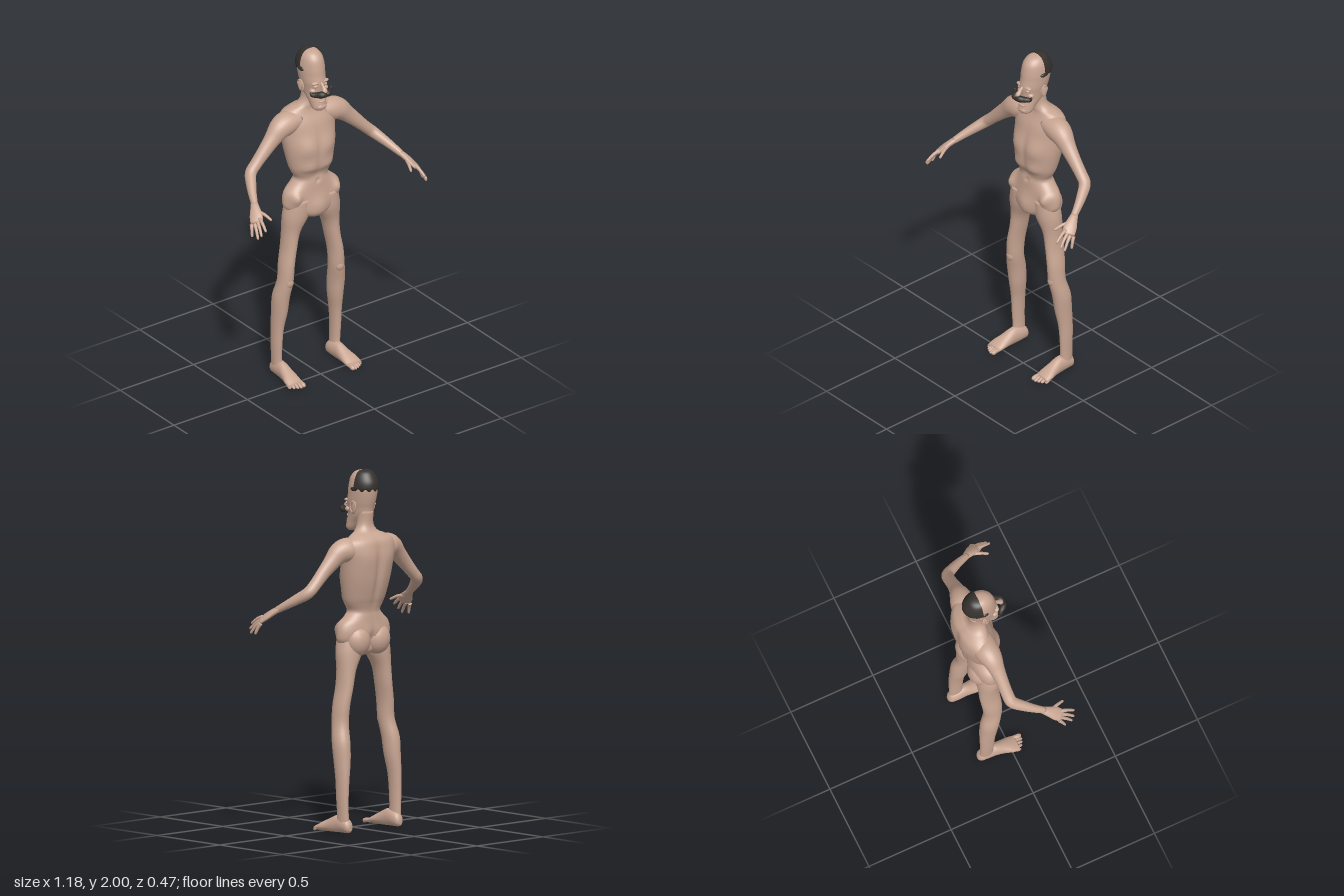
import * as THREE from 'three';

const skin = new THREE.MeshStandardMaterial({ color: 0xc8a592 });
skin.name = 'skin';
const hair = new THREE.MeshStandardMaterial({ color: 0x35312d });
hair.name = 'dark hair';
const V = (x, y, z) => new THREE.Vector3(x, y, z);
const UP = V(0, 1, 0), SIDE = V(1, 0, 0);

// Smooth interpolation through rows of numbers
function sample(rows, t) {
  const f = t * (rows.length - 1), i = Math.min(Math.floor(f), rows.length - 2), u = f - i;
  const at = (k) => rows[Math.max(0, Math.min(rows.length - 1, k))];
  return rows[i].map((b, n) => {
    const a = at(i - 1)[n], c = at(i + 1)[n], d = at(i + 2)[n];
    return b + 0.5 * u * (c - a + u * (2 * a - 5 * b + 4 * c - d + u * (3 * (b - c) + d - a)));
  });
}

// Skin over elliptical sections; each row is x, y, z, radius across, other radius
function loft(rows, { across = SIDE, axis = null, segs = 24, steps = 4, rule = null } = {}) {
  const n = (rows.length - 1) * steps, pos = [], idx = [];
  const data = [...Array(n + 1)].map((_, i) => sample(rows, i / n));
  const point = (d) => V(d[0], d[1], d[2]);
  data.forEach((d, i) => {
    const t = axis ? axis.clone()
      : point(data[Math.min(n, i + 1)]).sub(point(data[Math.max(0, i - 1)])).normalize();
    const a = across.clone().addScaledVector(t, -across.dot(t)).normalize();
    const b = t.clone().cross(a);
    for (let j = 0; j < segs; j++) {
      const w = (j / segs) * Math.PI * 2;
      const p = point(d).addScaledVector(a, Math.cos(w) * d[3]).addScaledVector(b, Math.sin(w) * d[4]);
      if (rule) rule(p, i, j);
      pos.push(p.x, p.y, p.z);
    }
  });
  for (let i = 0; i < n; i++) for (let j = 0; j < segs; j++) {
    const k = (j + 1) % segs, a = i * segs + j, b = i * segs + k;
    idx.push(a, b, b + segs, a, b + segs, a + segs);
  }
  // End caps
  const c = pos.length / 3, last = n * segs;
  pos.push(...data[0].slice(0, 3), ...data[n].slice(0, 3));
  for (let j = 0; j < segs; j++) {
    const k = (j + 1) % segs;
    idx.push(c, k, j, c + 1, last + j, last + k);
  }
  const g = new THREE.BufferGeometry();
  g.setAttribute('position', new THREE.Float32BufferAttribute(pos, 3));
  g.setIndex(idx);
  g.computeVertexNormals();
  return g;
}

function add(parent, name, geo, mat = skin) {
  const m = new THREE.Mesh(geo, mat);
  m.name = name;
  parent.add(m);
  return m;
}
function blob(parent, name, p, r, mat = skin) {
  const m = add(parent, name, new THREE.SphereGeometry(1, 20, 14), mat);
  m.position.set(...p);
  m.scale.set(...r);
  return m;
}

// Body relief: x, y, z, spread x, spread y, push along z
const relief = [
  [0, 1.42, -0.23, 0.02, 0.16, 0.018], [0.08, 1.52, -0.23, 0.05, 0.07, -0.008],
  [0.075, 1.42, 0, 0.05, 0.05, 0.012], [0, 1.4, 0, 0.018, 0.12, -0.008],
  [0.07, 1.3, 0, 0.045, 0.03, 0.012], [0, 1.24, 0, 0.05, 0.03, -0.012],
  [0, 1.05, 0, 0.05, 0.05, 0.014], [0.14, 1.12, 0, 0.03, 0.04, 0.03],
  [0, 1.2, -0.01, 0.01, 0.01, -0.012], [0, 1.05, -0.18, 0.016, 0.06, 0.025],
];
function sculpt(p) {
  const z = p.z;
  for (const [x, y, z0, sx, sy, d] of relief) {
    if (Math.abs(z - z0) > 0.1) continue;
    p.z += d * Math.exp(-(((Math.abs(p.x) - x) / sx) ** 2) - ((p.y - y) / sy) ** 2);
  }
}

function buildTorso(root) {
  add(root, 'torso', loft([
    [0, 0.97, -0.08, 0.03, 0.04], [0, 1.0, -0.08, 0.1, 0.072], [0, 1.05, -0.088, 0.175, 0.08],
    [0, 1.1, -0.095, 0.185, 0.082], [0, 1.15, -0.095, 0.172, 0.077], [0, 1.19, -0.095, 0.128, 0.075],
    [0, 1.22, -0.095, 0.105, 0.075], [0, 1.26, -0.097, 0.124, 0.084], [0, 1.3, -0.1, 0.138, 0.096],
    [0, 1.4, -0.11, 0.158, 0.113], [0, 1.5, -0.125, 0.172, 0.106], [0, 1.56, -0.132, 0.182, 0.096],
    [0, 1.61, -0.138, 0.165, 0.08], [0, 1.64, -0.128, 0.12, 0.062], [0, 1.66, -0.115, 0.075, 0.051],
    [0, 1.7, -0.108, 0.048, 0.044], [0, 1.77, -0.105, 0.048, 0.052],
  ], { axis: UP, segs: 64, rule: sculpt }));
}

function buildHead(root) {
  const head = new THREE.Group();
  head.name = 'head';
  root.add(head);
  add(head, 'skull', loft([
    [0, 1.655, -0.015, 0.028, 0.026], [0, 1.67, -0.018, 0.042, 0.042], [0, 1.71, -0.04, 0.048, 0.058],
    [0, 1.75, -0.07, 0.055, 0.078], [0, 1.79, -0.075, 0.061, 0.085], [0, 1.82, -0.079, 0.066, 0.091],
    [0, 1.86, -0.088, 0.069, 0.092], [0, 1.9, -0.093, 0.07, 0.092], [0, 1.95, -0.093, 0.062, 0.08],
    [0, 1.98, -0.093, 0.045, 0.057], [0, 1.993, -0.095, 0.025, 0.033], [0, 1.996, -0.095, 0.006, 0.01],
  ], { axis: UP, segs: 36 }));
  add(head, 'nose', loft([
    [0, 1.825, 0.004, 0.008, 0.008], [0, 1.805, 0.022, 0.01, 0.012],
    [0, 1.785, 0.04, 0.016, 0.014], [0, 1.775, 0.042, 0.01, 0.009],
  ], { segs: 16 }));
  blob(head, 'chin', [0, 1.678, 0.008], [0.032, 0.02, 0.018]);
  blob(head, 'upperLip', [0, 1.737, 0.006], [0.028, 0.012, 0.012]);
  blob(head, 'lowerLip', [0, 1.712, 0.012], [0.024, 0.007, 0.012]);
  for (const s of [-1, 1]) {
    blob(head, 'brow', [s * 0.03, 1.826, -0.006], [0.027, 0.009, 0.016]);
    blob(head, 'closedEye', [s * 0.03, 1.806, -0.004], [0.016, 0.009, 0.012]);
    blob(head, 'cheek', [s * 0.04, 1.775, -0.02], [0.02, 0.016, 0.02]);
    const ear = blob(head, 'ear', [s * 0.068, 1.79, -0.09], [0.009, 0.036, 0.021]);
    ear.rotation.set(-0.2, s * -0.35, 0);
    const rim = add(head, 'earRim', new THREE.TorusGeometry(0.021, 0.004, 8, 20, Math.PI * 1.5));
    rim.position.set(s * 0.075, 1.795, -0.09);
    rim.rotation.y = Math.PI / 2;
    rim.scale.y = 1.4;
    blob(head, 'sideHair', [s * 0.069, 1.894, -0.09], [0.01, 0.012, 0.024], hair);
  }
  // Hair covers the back of the skull, with a ragged lower edge
  add(head, 'hairCap', loft([
    [0, 1.888, -0.095, 0.072, 0.09], [0, 1.9, -0.094, 0.079, 0.096], [0, 1.93, -0.094, 0.076, 0.094],
    [0, 1.96, -0.094, 0.066, 0.08], [0, 1.985, -0.094, 0.05, 0.062],
    [0, 1.997, -0.094, 0.028, 0.04], [0, 2.0, -0.1, 0.004, 0.01],
  ], {
    axis: UP, segs: 48, rule: (p, i, j) => {
      p.z = Math.min(p.z, -0.1);
      if (i < 3) p.y += (j % 4 < 2 ? -0.005 : 0.006);
    },
  }), hair);
  // Moustache: two curled halves with strand ridges
  for (const s of [-1, 1]) add(head, 'moustache', loft([
    [0, 1.768, 0.052, 0.012, 0.013], [s * 0.022, 1.772, 0.045, 0.017, 0.018],
    [s * 0.044, 1.766, 0.02, 0.014, 0.015], [s * 0.062, 1.768, 0.006, 0.011, 0.011],
    [s * 0.072, 1.782, 0.002, 0.004, 0.004],
  ], { across: UP, segs: 16, rule: (p, i, j) => { p.y += j % 2 ? 0.002 : -0.002; } }), hair);
}

function buildArm(root, s) {
  const arm = new THREE.Group();
  arm.name = s > 0 ? 'leftArm' : 'rightArm';
  root.add(arm);
  const m = (rows) => rows.map(([x, ...r]) => [s * x, ...r]);
  add(arm, 'armLimb', loft(m([
    [0.08, 1.57, -0.125, 0.07, 0.055], [0.15, 1.565, -0.118, 0.07, 0.068], [0.2, 1.55, -0.11, 0.06, 0.062],
    [0.25, 1.507, -0.105, 0.045, 0.048], [0.31, 1.45, -0.1, 0.036, 0.039], [0.37, 1.39, -0.097, 0.034, 0.033],
    [0.412, 1.35, -0.088, 0.034, 0.032], [0.445, 1.315, -0.04, 0.03, 0.028],
    [0.475, 1.28, 0.015, 0.024, 0.023], [0.5, 1.247, 0.07, 0.019, 0.018],
  ]), { across: V(0, 0.35, 1) }));
  const across = V(s * 0.75, -0.35, -0.55);
  add(arm, 'palm', loft(m([
    [0.492, 1.257, 0.052, 0.018, 0.016], [0.51, 1.236, 0.085, 0.027, 0.017],
    [0.528, 1.21, 0.12, 0.037, 0.016], [0.546, 1.184, 0.15, 0.035, 0.012],
  ]), { across }));
  // Fingers: knuckle, then tip
  const fingers = [
    [0.527, 1.205, 0.152, 0.54, 1.165, 0.225], [0.54, 1.19, 0.15, 0.561, 1.138, 0.215],
    [0.553, 1.178, 0.142, 0.573, 1.118, 0.198], [0.565, 1.172, 0.128, 0.581, 1.117, 0.155],
    [0.505, 1.225, 0.11, 0.478, 1.2, 0.188],
  ];
  fingers.forEach(([x, y, z, a, b, c], i) => add(arm, i < 4 ? 'finger' : 'thumb', loft(m([
    [x, y, z, 0.011, 0.011], [(x + a) / 2, (y + b) / 2 + 0.006, (z + c) / 2, 0.009, 0.009],
    [a, b, c, 0.007, 0.007], [a + (a - x) * 0.06, b + (b - y) * 0.06, c + (c - z) * 0.06, 0.003, 0.003],
  ]), { across, segs: 12 })));
}

function buildLeg(root, s) {
  const leg = new THREE.Group();
  leg.name = s > 0 ? 'leftLeg' : 'rightLeg';
  root.add(leg);
  const m = (rows) => rows.map(([x, ...r]) => [s * x, ...r]);
  add(leg, 'legLimb', loft(m([
    [0.195, 0.05, -0.135, 0.026, 0.046], [0.198, 0.1, -0.14, 0.024, 0.04], [0.2, 0.2, -0.138, 0.027, 0.042],
    [0.197, 0.3, -0.135, 0.032, 0.046], [0.19, 0.4, -0.125, 0.042, 0.053], [0.187, 0.5, -0.114, 0.047, 0.056],
    [0.174, 0.6, -0.093, 0.043, 0.053], [0.166, 0.7, -0.093, 0.041, 0.057], [0.148, 0.8, -0.098, 0.041, 0.059],
    [0.132, 0.9, -0.098, 0.051, 0.06], [0.104, 1.0, -0.09, 0.079, 0.072], [0.09, 1.1, -0.085, 0.07, 0.07],
  ]), { axis: UP, segs: 28 }));
  blob(leg, 'kneecap', [s * 0.172, 0.6, -0.06], [0.028, 0.035, 0.024]);
  blob(leg, 'buttock', [s * 0.075, 1.055, -0.125], [0.078, 0.088, 0.068]);
  // Foot with a flat sole
  add(leg, 'foot', loft(m([
    [0.19, 0.03, -0.193, 0.012, 0.016], [0.19, 0.038, -0.178, 0.028, 0.036], [0.19, 0.046, -0.14, 0.034, 0.046],
    [0.192, 0.046, -0.09, 0.034, 0.05], [0.195, 0.036, -0.04, 0.04, 0.038],
    [0.2, 0.026, 0.005, 0.048, 0.026], [0.201, 0.016, 0.045, 0.046, 0.014],
  ]), { axis: V(0, 0, 1), rule: (p) => { p.y = Math.max(p.y, 0.003); } }));
  for (let i = 0; i < 5; i++) {
    const x = 0.168 + i * 0.018, r = i ? 0.0085 : 0.013, tip = [0.078, 0.077, 0.07, 0.06, 0.045][i];
    add(leg, 'toe', loft(m([
      [x, 0.018, 0.02, r, r], [x, 0.017, tip - 0.025, r, r],
      [x, r, tip - 0.006, r, r], [x, r, tip + 0.005, r * 0.4, r * 0.4],
    ]), { axis: V(0, 0, 1), segs: 12 }));
  }
}

export function createModel() {
  const root = new THREE.Group();
  root.name = 'figure';
  buildTorso(root);
  buildHead(root);
  for (const s of [-1, 1]) {
    buildArm(root, s);
    buildLeg(root, s);
  }
  return root;
}
